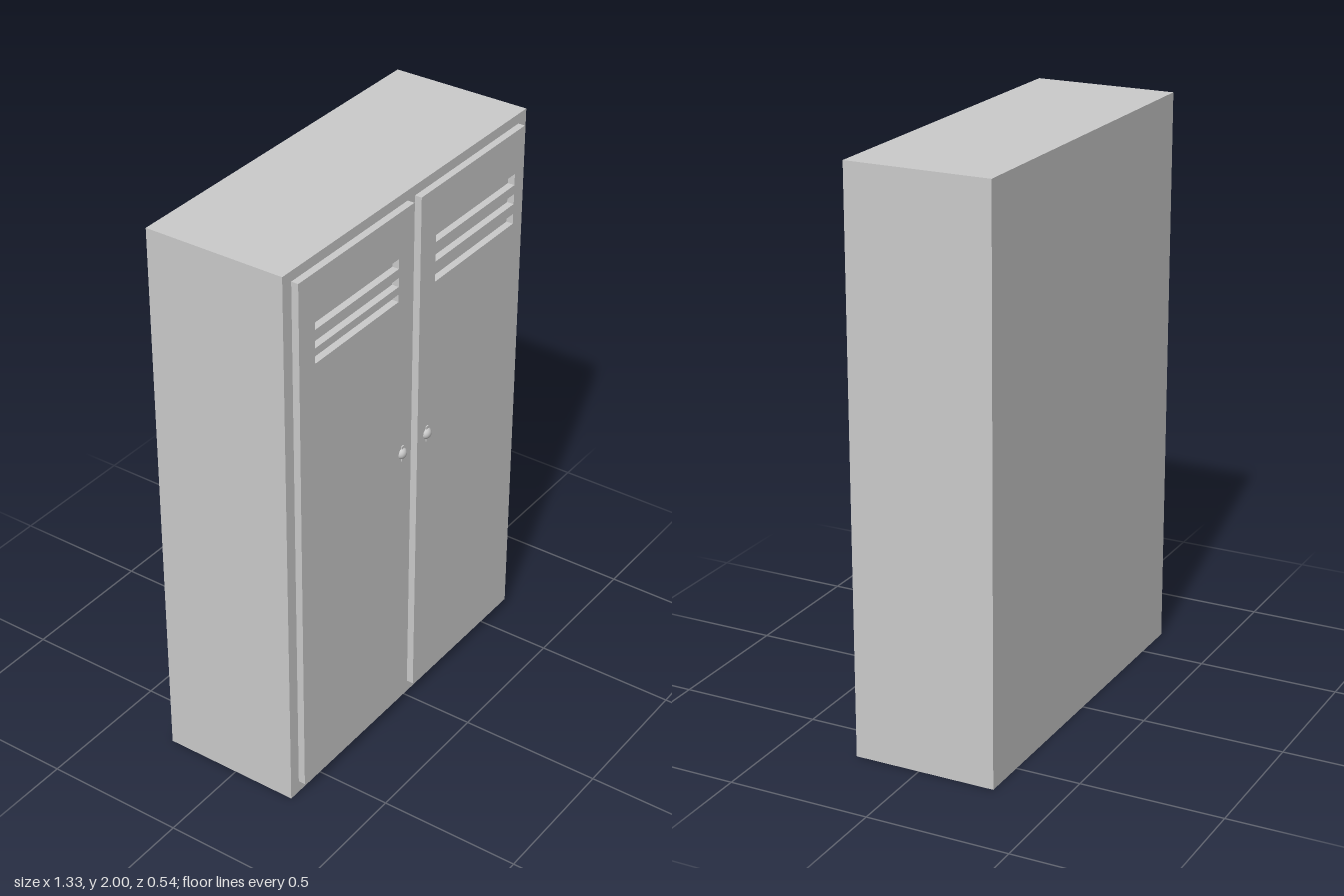
import * as THREE from 'three';

const material = new THREE.MeshStandardMaterial({ color: 0xcccccc });
const BODY_FRONT = 0.232, DOOR_DEPTH = 0.025;

function add(parent, name, geometry, x = 0, y = 0, z = 0) {
  const mesh = new THREE.Mesh(geometry, material);
  mesh.name = name;
  mesh.position.set(x, y, z);
  parent.add(mesh);
  return mesh;
}

// Rectangle outline from its edges
function rectangle(Type, x0, x1, y0, y1) {
  const path = new Type();
  path.moveTo(x0, y0);
  path.lineTo(x1, y0);
  path.lineTo(x1, y1);
  path.lineTo(x0, y1);
  path.closePath();
  return path;
}

// Door panel with vent slots cut through it, and its knob
function makeDoor(name, { x0, x1, slotX, slotsY, knobX }) {
  const door = new THREE.Group();
  door.name = name;
  const shape = rectangle(THREE.Shape, x0, x1, 0.045, 1.965);
  for (const [y0, y1] of slotsY) {
    shape.holes.push(rectangle(THREE.Path, slotX[0], slotX[1], y0, y1));
  }
  const panel = new THREE.ExtrudeGeometry(shape, { depth: DOOR_DEPTH, bevelEnabled: false });
  add(door, 'doorPanel', panel, 0, 0, BODY_FRONT);

  // Round knob on a narrow upright latch plate
  const front = BODY_FRONT + DOOR_DEPTH;
  add(door, 'latchPlate', new THREE.BoxGeometry(0.013, 0.058, 0.008), knobX, 1.068, front);
  const knob = add(door, 'knob', new THREE.SphereGeometry(0.021, 20, 14), knobX, 1.068, front - 0.003);
  knob.scale.z = 0.85;
  return door;
}

export function createModel() {
  const locker = new THREE.Group();
  locker.name = 'locker';

  // Cabinet body
  add(locker, 'cabinet', new THREE.BoxGeometry(1.326, 2, 0.504), 0, 1, BODY_FRONT - 0.252);

  // Pair of doors
  locker.add(makeDoor('rightDoor', {
    x0: -0.62, x1: -0.02, slotX: [-0.54, -0.1], knobX: -0.068,
    slotsY: [[1.77, 1.805], [1.706, 1.738], [1.652, 1.679]],
  }));
  locker.add(makeDoor('leftDoor', {
    x0: 0.02, x1: 0.617, slotX: [0.105, 0.567], knobX: 0.075,
    slotsY: [[1.77, 1.811], [1.7, 1.737], [1.627, 1.664]],
  }));
  return locker;
}
